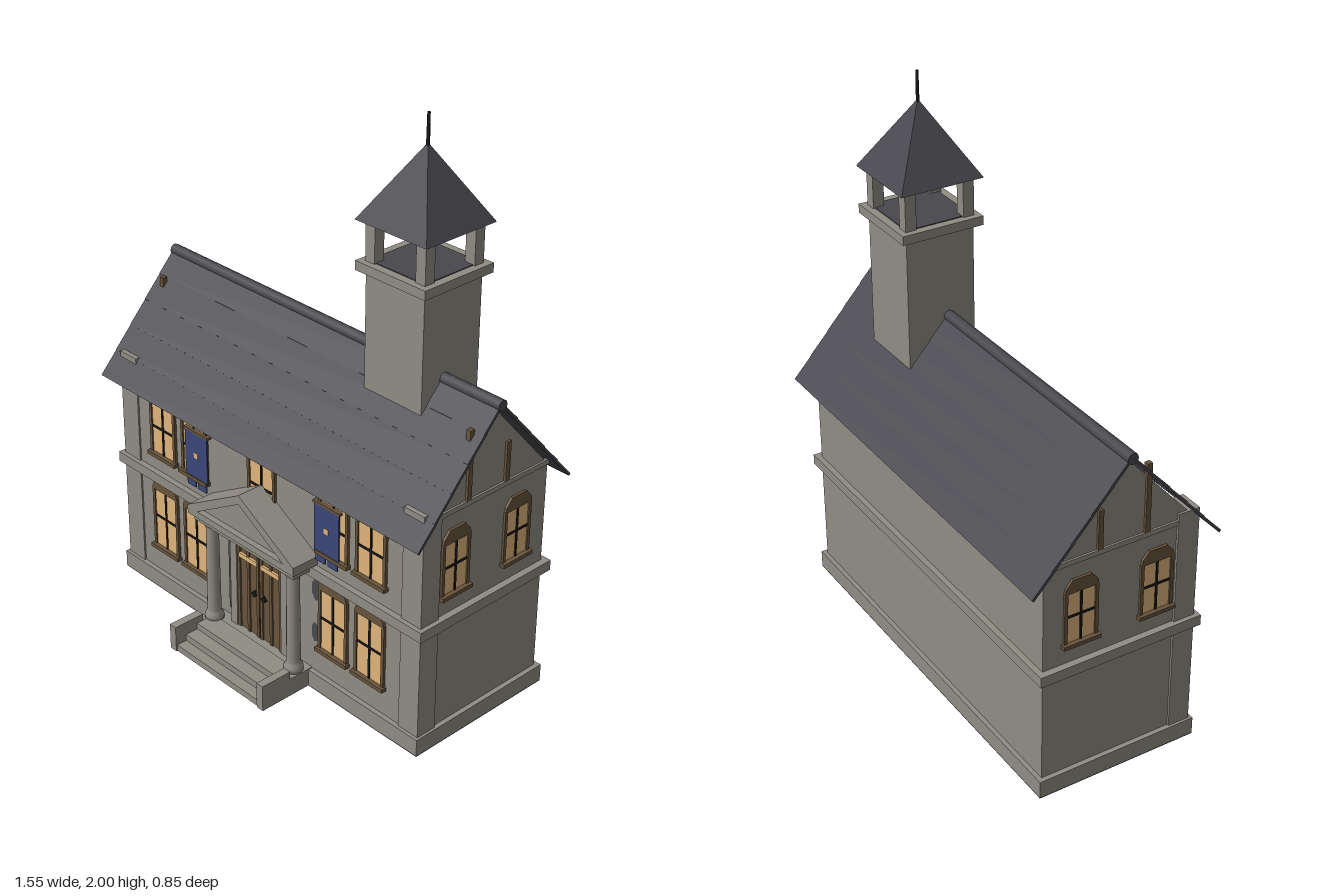
import * as THREE from 'three';

const mat = (name, color) => {
  const m = new THREE.MeshStandardMaterial({ color });
  m.name = name;
  return m;
};
const stone = mat('stone', 0x908c84);
const slate = mat('slate', 0x48474d);
const wood = mat('wood', 0x68533c);
const glass = mat('warm glass', 0xe0b47c);
const dark = mat('dark iron', 0x1a1816);
const blue = mat('blue cloth', 0x3a4678);

function add(parent, name, geo, material, x = 0, y = 0, z = 0) {
  const m = new THREE.Mesh(geo, material);
  m.name = name;
  m.position.set(x, y, z);
  parent.add(m);
  return m;
}

// Box given by its minimum and maximum corners
function box(parent, name, material, [x0, y0, z0], [x1, y1, z1]) {
  return add(parent, name, new THREE.BoxGeometry(x1 - x0, y1 - y0, z1 - z0), material,
    (x0 + x1) / 2, (y0 + y1) / 2, (z0 + z1) / 2);
}

function group(parent, name) {
  const g = new THREE.Group();
  g.name = name;
  parent.add(g);
  return g;
}

const polygon = (pts) => new THREE.Shape(pts.map(([x, y]) => new THREE.Vector2(x, y)));
const extrude = (shape, depth) => new THREE.ExtrudeGeometry(shape, { depth, bevelEnabled: false });

// Faceted wooden arch head standing on y = 0
const archHead = (w, h, depth) => extrude(polygon([
  [-w, 0], [w, 0], [w * 0.92, h * 0.45], [w * 0.55, h], [-w * 0.55, h], [-w * 0.92, h * 0.45],
]), depth);

// Window facing +z, its back on z = 0 and its sill on y = 0
function makeWindow(parent, h, w = 0.058) {
  const g = group(parent, 'window');
  box(g, 'pane', glass, [-w, 0, -0.01], [w, h, 0.005]);
  for (const s of [-1, 1]) {
    const x = s * (w + 0.004);
    box(g, 'jamb', wood, [x - 0.006, 0, -0.01], [x + 0.006, h, 0.01]);
  }
  box(g, 'mullion', dark, [-0.004, 0, 0], [0.004, h, 0.008]);
  box(g, 'crossbar', dark, [-w, h * 0.52 - 0.004, 0], [w, h * 0.52 + 0.004, 0.008]);
  box(g, 'sill', wood, [-w - 0.016, -0.012, -0.01], [w + 0.016, 0.002, 0.021]);
  add(g, 'arch', archHead(w + 0.01, 0.048, 0.016), wood, 0, h - 0.004, -0.005);
  return g;
}

function buildWalls(root) {
  const g = group(root, 'walls');
  const section = polygon([[-0.36, 0], [0.2, 0], [0.2, 0.85], [-0.08, 1.165], [-0.36, 0.85]]);
  const geo = extrude(section, 1.46).rotateY(-Math.PI / 2).translate(0.73, 0, 0);
  add(g, 'body', geo, stone);
  box(g, 'foundation', slate, [-0.747, 0, -0.376], [0.747, 0.004, 0.218]);
  box(g, 'plinth', stone, [-0.747, 0.004, -0.376], [0.747, 0.065, 0.218]);
  box(g, 'beltCourse', stone, [-0.754, 0.447, -0.381], [0.754, 0.485, 0.222]);
  for (const s of [-1, 1]) {
    box(g, 'cornerPilaster', stone, [s * 0.695 - 0.043, 0.06, 0.127], [s * 0.695 + 0.043, 0.891, 0.206]);
    box(g, 'gableBand', stone, [s * 0.73 - 0.007, 0.85, -0.362], [s * 0.73 + 0.007, 0.868, 0.2]);
    for (const [z, top] of [[0.01, 1.115], [-0.162, 1.01]]) {
      box(g, 'gableTimber', wood, [s * 0.73 - 0.009, 0.868, z - 0.009], [s * 0.73 + 0.009, top, z + 0.009]);
    }
    // End windows
    for (const z of [0.055, -0.225]) {
      const w = makeWindow(g, 0.19, 0.052);
      w.position.set(s * 0.728, 0.56, z);
      w.rotation.y = s * Math.PI / 2;
    }
  }
  // Front windows on both floors
  for (const x of [-0.515, -0.345, 0, 0.345, 0.515]) {
    makeWindow(g, 0.2).position.set(x, 0.56, 0.2);
    if (x) makeWindow(g, 0.236).position.set(x, 0.175, 0.2);
  }
  // Worn dark patches on the front wall
  for (const [x, y, w, h] of [[0.262, 0.39, 0.024, 0.045], [0.256, 0.22, 0.018, 0.04], [-0.262, 0.39, 0.018, 0.04]]) {
    add(g, 'wallPatch', new THREE.CircleGeometry(1, 7).scale(w, h, 1), slate, x, y, 0.202);
  }
}

function buildRoof(root) {
  const g = group(root, 'roof');
  const courses = 5, len = 0.51 / courses;
  for (const turn of [0, Math.PI]) {
    const side = group(g, 'roofSide');
    side.position.set(0, 1.183, -0.08);
    side.rotation.y = turn;
    const slope = group(side, 'slope');
    slope.rotation.x = Math.atan2(0.38, 0.34);
    // Overlapping slate courses
    for (let i = 0; i < courses; i++) {
      const c = add(slope, 'slateCourse', new THREE.BoxGeometry(1.545, 0.01, len + 0.008), slate, 0, 0, (i + 0.5) * len);
      c.rotation.x = -0.02;
    }
  }
  add(g, 'ridge', new THREE.CylinderGeometry(0.02, 0.02, 1.55, 8).rotateZ(Math.PI / 2), slate, 0, 1.179, -0.08);
}

function buildTower(root) {
  const g = group(root, 'tower');
  g.position.set(0.406, 0, -0.108);
  box(g, 'shaft', stone, [-0.125, 0.85, -0.125], [0.125, 1.5, 0.125]);
  box(g, 'towerCap', stone, [-0.149, 1.488, -0.149], [0.149, 1.52, 0.149]);
  box(g, 'belfryFloor', slate, [-0.12, 1.515, -0.12], [0.12, 1.523, 0.12]);
  for (const x of [-0.107, 0.107]) {
    for (const z of [-0.107, 0.107]) {
      box(g, 'belfryPost', stone, [x - 0.02, 1.52, z - 0.02], [x + 0.02, 1.66, z + 0.02]);
    }
  }
  const spire = new THREE.ConeGeometry(0.151 * Math.SQRT2, 0.25, 4).toNonIndexed().rotateY(Math.PI / 4);
  spire.computeVertexNormals();
  add(g, 'spire', spire, slate, 0, 1.78, 0);
  add(g, 'finial', new THREE.CylinderGeometry(0.005, 0.006, 0.11, 8), dark, 0, 1.945, 0);
}

function buildPortico(root) {
  const g = group(root, 'portico');
  box(g, 'landing', stone, [-0.24, 0, 0.2], [0.24, 0.068, 0.3]);
  // Steps between low side walls
  [0.42, 0.38, 0.33].forEach((z, i) => {
    box(g, 'step', stone, [-0.21, 0, 0.25], [0.21, 0.024 * (i + 1), z - 0.003]);
  });
  for (const s of [-1, 1]) {
    box(g, 'stepWall', stone, [s * 0.225 - 0.015, 0, 0.3], [s * 0.225 + 0.015, 0.098, 0.422]);
    // Columns turned from one profile
    const profile = [[0, 0], [0.034, 0], [0.034, 0.018], [0.027, 0.03], [0.025, 0.04], [0.022, 0.37],
      [0.027, 0.38], [0.033, 0.395], [0.033, 0.41], [0, 0.41]].map(([r, y]) => new THREE.Vector2(r, y));
    add(g, 'column', new THREE.LatheGeometry(profile, 16), stone, s * 0.204, 0.067, 0.252);
  }
  box(g, 'architrave', stone, [-0.25, 0.465, 0.19], [0.25, 0.5, 0.292]);
  // Pediment frame around a recessed triangle
  const outline = [[-0.265, 0.49], [0.265, 0.49], [0.265, 0.522], [0, 0.676], [-0.265, 0.522]];
  const frame = polygon(outline);
  frame.holes.push(new THREE.Path([[-0.215, 0.515], [0, 0.642], [0.215, 0.515]].map(([x, y]) => new THREE.Vector2(x, y))));
  add(g, 'pedimentFrame', extrude(frame, 0.107), stone, 0, 0, 0.2);
  add(g, 'tympanum', extrude(polygon([[-0.23, 0.51], [0.23, 0.51], [0, 0.65]]), 0.085), stone, 0, 0, 0.2);
}

function buildDoor(root) {
  const g = group(root, 'entrance');
  for (const s of [-1, 1]) {
    box(g, 'doorPilaster', stone, [s * 0.128 - 0.016, 0.065, 0.19], [s * 0.128 + 0.016, 0.425, 0.226]);
    box(g, 'sidePanel', slate, [s * 0.161 - 0.017, 0.1, 0.196], [s * 0.161 + 0.017, 0.42, 0.204]);
    box(g, 'doorLeaf', wood, [s * 0.057 - 0.055, 0.068, 0.19], [s * 0.057 + 0.055, 0.425, 0.216]);
    for (const dx of [-0.048, 0, 0.048]) {
      box(g, 'doorBatten', wood, [s * 0.057 + dx - 0.006, 0.068, 0.2], [s * 0.057 + dx + 0.006, 0.41, 0.222]);
    }
    box(g, 'transomLight', glass, [s * 0.055 - 0.046, 0.355, 0.2], [s * 0.055 + 0.046, 0.373, 0.225]);
    // Diamond-shaped pulls
    add(g, 'doorPull', new THREE.CylinderGeometry(0.014, 0.014, 0.008, 4).rotateX(Math.PI / 2), dark, s * 0.024, 0.24, 0.223);
  }
  box(g, 'doorGap', dark, [-0.002, 0.068, 0.2], [0.002, 0.425, 0.218]);
}

function buildBanners(root) {
  // Cloth with two square tails on a short rod
  const cloth = polygon([[-0.057, 0], [-0.05, 0], [-0.05, -0.035], [-0.006, -0.035], [-0.006, 0], [0.006, 0],
    [0.006, -0.035], [0.05, -0.035], [0.05, 0], [0.057, 0], [0.057, 0.18], [-0.057, 0.18]]);
  for (const s of [-1, 1]) {
    const g = group(root, 'banner');
    g.position.set(s * 0.323, 0.557, 0.212);
    add(g, 'cloth', extrude(cloth, 0.005), blue);
    box(g, 'patch', glass, [-0.01, 0.083, 0.004], [0.01, 0.103, 0.007]);
    box(g, 'rod', wood, [-0.062, 0.178, -0.014], [0.062, 0.187, 0.007]);
  }
}

export function createModel() {
  const root = new THREE.Group();
  root.name = 'townHouse';
  buildWalls(root);
  buildRoof(root);
  buildTower(root);
  buildPortico(root);
  buildDoor(root);
  buildBanners(root);
  return root;
}
